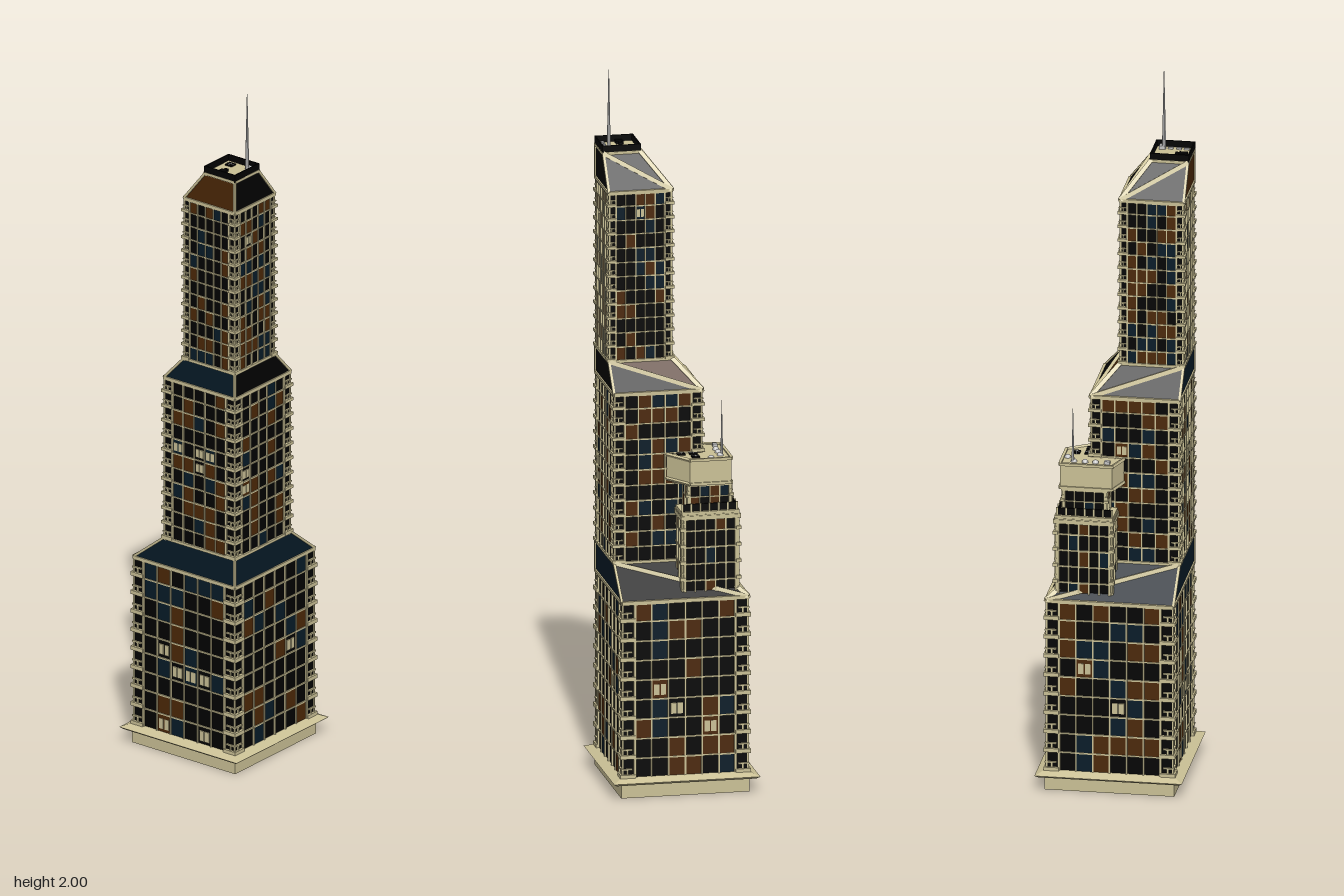
import * as THREE from 'three';
import { mergeGeometries } from 'three/addons/utils/BufferGeometryUtils.js';

const mat = (name, color) => {
  const m = new THREE.MeshStandardMaterial({ color });
  m.name = name;
  return m;
};

export function createModel() {
  const M = {
    stone: mat('cream stone', 0xcbc196),
    dark: mat('black glass', 0x020202),
    brown: mat('bronze glass', 0x4c2807),
    blue: mat('blue glass', 0x061b28),
    grey: mat('grey metal', 0xc6c6c6),
  };
  const root = new THREE.Group();
  root.name = 'skyscraper';
  let seed = 29;
  const rnd = () => (seed = (seed * 16807) % 2147483647) / 2147483647;
  const V = (x, y, z) => new THREE.Vector3(x, y, z);

  // Merges flat-shaded pieces into one named mesh per colour
  const add = (name, colour, geos) => {
    if (!geos.length) return;
    const flat = geos.map((g) => {
      const n = g.index ? g.toNonIndexed() : g;
      n.deleteAttribute('uv');
      n.computeVertexNormals();
      return n;
    });
    const mesh = new THREE.Mesh(mergeGeometries(flat), M[colour]);
    mesh.name = name;
    root.add(mesh);
  };
  // Box from its extents
  const box = (x0, x1, y0, y1, z0, z1) =>
    new THREE.BoxGeometry(x1 - x0, y1 - y0, z1 - z0).translate((x0 + x1) / 2, (y0 + y1) / 2, (z0 + z1) / 2);
  const frustum = (r0, r1, y0, y1) =>
    new THREE.CylinderGeometry(r1 * Math.SQRT2, r0 * Math.SQRT2, y1 - y0, 4).rotateY(Math.PI / 4).translate(0, (y0 + y1) / 2, 0);
  const face = (...pts) => new THREE.BufferGeometry().setFromPoints(pts);
  // Square bar between two points
  const beam = (a, b, w) => {
    const d = b.clone().sub(a);
    const q = new THREE.Quaternion().setFromUnitVectors(V(0, 1, 0), d.clone().normalize());
    return new THREE.BoxGeometry(w, d.length(), w).applyQuaternion(q)
      .translate((a.x + b.x) / 2, (a.y + b.y) / 2, (a.z + b.z) / 2);
  };

  // Square block with a glazed grid on four sides and balconies on its corners;
  // blinds lists [side, row, column] with sides front, right, back, left
  const tower = (name, x0, x1, y0, y1, cols, rows, e, bar, darkShare, blinds) => {
    const c = (x0 + x1) / 2, h = (x1 - x0) / 2, dy = (y1 - y0) / rows;
    const out = { stone: [], dark: [], brown: [], blue: [] };
    out.dark.push(box(x0 + 0.002, x1 - 0.002, y0, y1, x0 + 0.002, x1 - 0.002));
    const w = h - e, dx = (2 * w) / cols;
    for (let k = 0; k < 4; k++) {
      const put = (colour, g) => out[colour].push(g.rotateY((k * Math.PI) / 2).translate(c, 0, c));
      for (let r = 0; r < rows; r++) {
        const y = y0 + r * dy;
        for (let i = 0; i < cols; i++) {
          const t = (rnd() - darkShare) / (1 - darkShare), x = -w + i * dx;
          if (t > 0) put(t < 0.56 ? 'brown' : 'blue', box(x, x + dx, y, y + dy, h - 0.003, h));
        }
        // Floor line, balcony slab, railing and screens
        put('stone', box(-w, w, y - bar / 2, y + bar / 2, h - 0.003, h + 0.002));
        put('stone', box(h - e, h + 0.006, y, y + dy * 0.2, h - e, h + 0.006));
        put('stone', box(h - e * 0.8, h + 0.003, y + dy * 0.42, y + dy * 0.5, h - e * 0.8, h + 0.003));
        put('stone', box(h - e * 0.5, h - e * 0.36, y + dy * 0.2, y + dy * 0.45, h - e * 0.5, h + 0.002));
        put('stone', box(h - e * 0.5, h + 0.002, y + dy * 0.2, y + dy * 0.45, h - e * 0.5, h - e * 0.36));
      }
      // Pale blinds in a few panes
      for (const [, r, i] of blinds.filter((b) => b[0] === k)) {
        const x = -w + i * dx, y = y0 + r * dy;
        for (const s of [0.14, 0.54]) {
          put('stone', box(x + dx * s, x + dx * (s + 0.32), y + dy * 0.2, y + dy * 0.75, h - 0.003, h + 0.001));
        }
      }
      for (let i = 0; i <= cols; i++) {
        const x = -w + i * dx, b = i % cols ? bar / 2 : bar * 0.8;
        put('stone', box(x - b, x + b, y0, y1, h - 0.003, h + 0.003));
      }
      put('stone', box(h - 0.004, h + 0.001, y0, y1, h - 0.004, h + 0.001));
      put('stone', box(-h, h, y1 - 0.007, y1, h - 0.004, h + 0.003));
    }
    for (const colour in out) add(`${name} ${M[colour].name}`, colour, out[colour]);
  };

  // Sloping setback roof: front and right stay upright, back and left lean in.
  // The back slope is split along its diagonal into an outer and an inner half.
  const E = 0.177;
  const setback = (name, a, b, y0, y1, [front, right, backOuter, backInner, left]) => {
    const lo = [V(a, y0, E), V(E, y0, E), V(E, y0, a), V(a, y0, a)];
    const hi = [V(b, y1, E), V(E, y1, E), V(E, y1, b), V(b, y1, b)];
    const bars = [];
    const at = (k) => [lo[k], lo[(k + 1) % 4], hi[(k + 1) % 4], hi[k]];
    const whole = ([p, q, r, s]) => [face(p, q, r), face(p, r, s)];
    add(`${name} front`, front, whole(at(0)));
    add(`${name} right`, right, whole(at(1)));
    add(`${name} left`, left, whole(at(3)));
    // Back runs from the right corner to the hip at the left corner
    const [p, q, r, s] = at(2);
    add(`${name} back outer`, backOuter, [face(p, q, s)]);
    add(`${name} back inner`, backInner, [face(q, r, s)]);
    lo.forEach((v, k) => {
      const n = (k + 1) % 4;
      bars.push(beam(v, lo[n], 0.008), beam(hi[k], hi[n], 0.008), beam(v, hi[k], k === 3 ? 0.012 : 0.007));
    });
    bars.push(beam(lo[3], hi[2], 0.012), beam(lo[3], hi[0], 0.012));
    add(`${name} frame`, 'stone', bars);
  };

  // Plinth with a flared moulding
  add('plinth', 'stone', [
    box(-0.18, 0.18, 0, 0.045, -0.18, 0.18),
    frustum(0.196, 0.205, 0.04, 0.047),
    frustum(0.205, 0.179, 0.047, 0.058),
  ]);

  // Three stacked tiers sharing the front right corner
  tower('lower tier', -E, E, 0.055, 0.555, 6, 9, 0.036, 0.0045, 0.6, [
    [0, 3, 2], [0, 3, 3], [0, 3, 4], [0, 4, 1], [0, 0, 1], [0, 0, 4], [1, 4, 4],
    [2, 3, 2], [2, 4, 1], [2, 2, 4], [3, 3, 3], [3, 5, 1],
  ]);
  setback('lower roof', -E, -0.07, 0.555, 0.64, ['blue', 'blue', 'dark', 'dark', 'blue']);
  tower('middle tier', -0.07, E, 0.64, 1.12, 5, 11, 0.03, 0.004, 0.54, [
    [0, 6, 0], [0, 6, 2], [0, 6, 3], [0, 5, 2], [1, 5, 0], [1, 4, 0], [2, 6, 3], [3, 7, 1],
  ]);
  setback('middle roof', -0.07, 0, 1.12, 1.195, ['blue', 'dark', 'dark', 'brown', 'dark']);
  tower('upper tier', 0, E, 1.195, 1.675, 5, 12, 0.02, 0.0035, 0.5, [[1, 9, 1], [2, 10, 2]]);
  setback('crown', 0, 0.074, 1.675, 1.768, ['brown', 'dark', 'dark', 'dark', 'dark']);

  // Roof deck, thin parapet and plant
  add('roof deck', 'stone', [box(0.075, 0.178, 1.762, 1.772, 0.075, 0.178)]);
  add('roof parapet', 'dark', [
    box(0.072, 0.18, 1.765, 1.79, 0.072, 0.076), box(0.072, 0.18, 1.765, 1.79, 0.176, 0.18),
    box(0.072, 0.076, 1.765, 1.79, 0.076, 0.176), box(0.176, 0.18, 1.765, 1.79, 0.076, 0.176),
  ]);
  add('roof hatch', 'dark', [
    box(0.106, 0.126, 1.77, 1.78, 0.145, 0.169),
    box(0.111, 0.121, 1.77, 1.78, 0.135, 0.145),
  ]);
  const vents = [box(0.151, 0.172, 1.77, 1.782, 0.084, 0.099)];
  for (const z of [0.108, 0.131, 0.153]) vents.push(box(0.157, 0.165, 1.77, 1.777, z, z + 0.014));
  add('roof vents', 'grey', vents);
  const mast = (x, z, y0, y1, r) => [
    new THREE.CylinderGeometry(r * 0.6, r, (y1 - y0) * 0.45, 6).translate(x, y0 + (y1 - y0) * 0.225, z),
    new THREE.CylinderGeometry(r * 0.15, r * 0.6, (y1 - y0) * 0.55, 6).translate(x, y0 + (y1 - y0) * 0.725, z),
  ];
  add('main antenna', 'grey', mast(0.157, 0.097, 1.77, 2, 0.006));

  // Annex wrapped round the back left corner
  tower('annex', -0.155, 0.004, 0.555, 0.79, 5, 5, 0.008, 0.0045, 0.85, []);
  add('annex cornice', 'stone', [
    box(-0.16, 0.008, 0.775, 0.787, -0.16, 0.008),
    box(-0.157, 0.005, 0.79, 0.798, -0.157, 0.005),
  ]);
  add('annex parapet', 'dark', [
    box(-0.149, 0.002, 0.798, 0.818, -0.149, -0.145), box(-0.149, -0.145, 0.798, 0.818, -0.145, 0.002),
  ]);
  const posts = [];
  for (let i = 0; i < 7; i++) {
    const p = -0.153 + i * 0.0255;
    posts.push(box(p, p + 0.005, 0.798, 0.82, -0.153, -0.148), box(-0.153, -0.148, 0.798, 0.82, p, p + 0.005));
  }
  add('annex parapet posts', 'stone', posts);
  tower('annex penthouse', -0.138, -0.015, 0.798, 0.872, 4, 2, 0.006, 0.003, 0.6, []);

  // Annex cap with a raised rim, chamfered back to the tower
  const plan = [[-0.07, 0.022], [-0.137, 0], [-0.137, -0.145], [-0.02, -0.145], [0.03, -0.07], [-0.06, -0.06]];
  const shape = new THREE.Shape(plan.map(([x, z]) => new THREE.Vector2(x, -z)));
  const rim = [0.874, 0.942].flatMap((y) => plan.slice(0, 4).map(([x, z], i) =>
    beam(V(x, y, z), V(plan[i + 1][0], y, plan[i + 1][1]), 0.008)));
  add('annex cap', 'stone', [
    new THREE.ExtrudeGeometry(shape, { depth: 0.072, bevelEnabled: false }).rotateX(-Math.PI / 2).translate(0, 0.87, 0),
    ...rim,
  ]);
  const domes = [[-0.082, -0.132], [-0.112, -0.11], [-0.112, -0.079], [-0.112, -0.05]];
  add('annex vents', 'grey', [
    ...domes.map(([x, z]) => new THREE.SphereGeometry(0.009, 12, 5, 0, Math.PI * 2, 0, Math.PI / 2).translate(x, 0.942, z)),
    box(-0.122, -0.11, 0.942, 0.951, -0.024, -0.009),
  ]);
  // Skylights with glazing bars
  const lights = [[-0.042, -0.113, 0.942], [-0.042, -0.08, 0.942], [-0.008, -0.08, 0.942], [0.0995, 0.098, 1.772]];
  add('skylights', 'dark', lights.map(([x, z, y]) => box(x - 0.011, x + 0.011, y, y + 0.004, z - 0.01, z + 0.01)));
  add('skylight bars', 'grey', lights.flatMap(([x, z, y]) => [
    box(x - 0.011, x + 0.011, y, y + 0.005, z - 0.0007, z + 0.0007),
    box(x - 0.0007, x + 0.0007, y, y + 0.005, z - 0.01, z + 0.01),
  ]));
  add('annex antenna', 'grey', mast(-0.116, -0.112, 0.942, 1.1, 0.004));

  return root;
}
